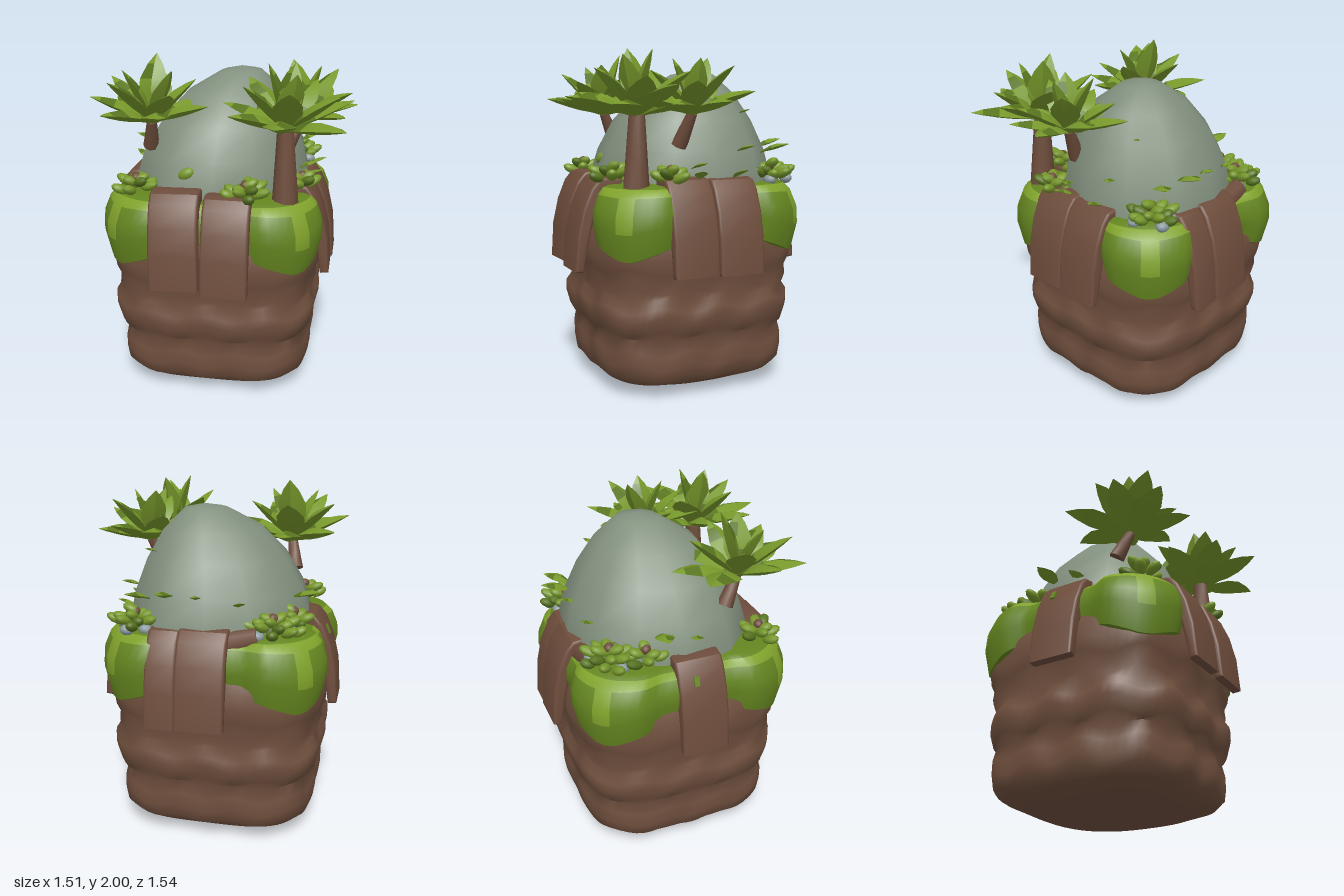
import * as THREE from 'three';
import { toCreasedNormals } from 'three/addons/utils/BufferGeometryUtils.js';

const mat = (name, color, side = THREE.FrontSide) => {
  const m = new THREE.MeshStandardMaterial({ color, side });
  m.name = name;
  return m;
};

// Closed loops of nu points, stacked nv times; pick() chooses a material slot per quad
function loft(nu, nv, point, crease, pick = () => 0) {
  const pos = [], slots = [[], []];
  for (let j = 0; j < nv; j++) for (let i = 0; i < nu; i++) pos.push(...point(i, j));
  for (let j = 0; j < nv - 1; j++) for (let i = 0; i < nu; i++) {
    const k = (i + 1) % nu, a = j * nu + i, b = a + nu, c = j * nu + k, d = c + nu;
    slots[pick(i, j)].push(a, b, c, c, b, d);
  }
  const g = new THREE.BufferGeometry();
  g.setAttribute('position', new THREE.Float32BufferAttribute(pos, 3));
  g.setIndex([...slots[0], ...slots[1]]);
  g.addGroup(0, slots[0].length, 0);
  g.addGroup(slots[0].length, slots[1].length, 1);
  return toCreasedNormals(g, crease);
}

// Rounded-square radius factor for an angle
const square = (a, n = 3.8) =>
  1 / Math.pow(Math.abs(Math.cos(a)) ** n + Math.abs(Math.sin(a)) ** n, 1 / n);

let seed = 7;
const rnd = () => (seed = (seed * 16807) % 2147483647) / 2147483647;

export function createModel() {
  const model = new THREE.Group();
  const earth = mat('earth brown', 0x70503e), bark = mat('bark brown', 0x6e4d3c);
  const rockGrey = mat('rock grey', 0x83917f), pebbleGrey = mat('pebble grey', 0x8b9aa0);
  const moss = mat('moss green', 0x648520, THREE.DoubleSide);
  const mossLight = mat('light moss green', 0x80a22b, THREE.DoubleSide);
  const leafGreen = mat('leaf green', 0x77982b), leafDark = mat('dark leaf green', 0x58741f);
  const CX = -0.05, CZ = -0.055;

  const add = (name, geo, material, parent = model, x = 0, y = 0, z = 0) => {
    const m = new THREE.Mesh(geo, material);
    m.name = name;
    m.position.set(x, y, z);
    parent.add(m);
    return m;
  };

  // Earth block: rounded square with staggered rows of lumps
  const N = 96;
  const profile = [[0, 0.008], [0.25, 0.022], [0.45, 0.045], [0.53, 0.085], [0.575, 0.13], [0.585, 0.2],
    [0.585, 0.28], [0.57, 0.35], [0.6, 0.4], [0.62, 0.48], [0.62, 0.54], [0.59, 0.59],
    [0.605, 0.65], [0.6, 0.71], [0.62, 0.76], [0.63, 0.84], [0.62, 0.95], [0.56, 1.1], [0.48, 1.2], [0, 1.2]];
  add('earthBlock', loft(N, profile.length, (i, j) => {
    const a = (i / N) * Math.PI * 2, [r0, y0] = profile[j];
    const row = Math.floor(j / 4) % 2;
    const lump = j > 3 && j < 16 ? Math.cos(a * 12 + row * Math.PI) : 0;
    const r = r0 * square(a, j < 3 ? 2.6 : 3.7) * (1 + 0.014 * lump);
    return [CX + r * Math.cos(a), y0 + lump * 0.02, CZ + r * Math.sin(a)];
  }, 1.2), earth);

  // Moss cap: four lobes hanging at the corners, recessed under the straps,
  // lighter along the rim and the corner ridges
  const edge = (a) => Math.abs((((a / (Math.PI / 2)) % 1) - 0.5) * 2);
  const cap = [[0.6, 0], [0.645, 0.03], [0.675, 0.4], [0.67, 0.62], [0.635, 0.86], [0.595, 0.97], [0.55, 1], [0.3, 1]];
  add('mossCap', loft(N, cap.length, (i, j) => {
    const a = (i / N) * Math.PI * 2, [r0, t] = cap[j], e = edge(a);
    const dip = THREE.MathUtils.smoothstep(e, 0.36, 0.56);
    const hem = 0.815 + 0.22 * Math.max(0, Math.min(0.62, e) - 0.06);
    const r = r0 * square(a, 3.6) * (1 - (j < 7 ? 0.085 * dip : 0));
    return [CX + r * Math.cos(a), THREE.MathUtils.lerp(hem, 1.24 - 0.015 * dip, t), CZ + r * Math.sin(a)];
  }, 0.6, (i, j) => {
    const corner = Math.abs(((i + 0.5) % 24) - 12) < 1;
    return j === 4 || (corner && j > 1 && j < 5) ? 1 : 0;
  }), [moss, mossLight]);

  // Boulder, broader along one diagonal: [y, centre x, centre z, radius]
  const rings = [[1.1, -0.04, -0.09, 0.53], [1.25, -0.04, -0.09, 0.525], [1.42, -0.03, -0.09, 0.48],
    [1.6, -0.01, -0.09, 0.395], [1.76, 0.02, -0.1, 0.275], [1.875, 0.06, -0.13, 0.12], [1.9, 0.06, -0.14, 0]];
  add('boulder', loft(12, rings.length, (i, j) => {
    const [y, x, z, r0] = rings[j], a = (i / 12) * Math.PI * 2;
    const r = r0 * square(a, 2.3) * (1 - 0.06 * Math.sin(2 * a));
    return [x + r * Math.cos(a), y, z + r * Math.sin(a)];
  }, 0.9), rockGrey);

  // Root straps folded over the rim
  const section = new THREE.Shape([[0.42, 1.27], [0.5, 1.285], [0.56, 1.272], [0.605, 1.22], [0.655, 1.1],
    [0.69, 0.95], [0.705, 0.74], [0.655, 0.735], [0.62, 0.93], [0.57, 1.12], [0.5, 1.19], [0.42, 1.19]]
    .map(([x, y]) => new THREE.Vector2(x, y)));
  const strap = (name, angle, offset, width, shift = 0, tilt = 0, rise = 0) => {
    const b = 0.016;
    const geo = new THREE.ExtrudeGeometry(section, { depth: width - 2 * b, bevelEnabled: true,
      bevelSize: b, bevelThickness: b, bevelOffset: -b, bevelSegments: 3 });
    geo.translate(shift, rise, -width / 2 + b);
    const pivot = new THREE.Group();
    pivot.name = name;
    pivot.position.set(CX, 0, CZ);
    pivot.rotation.y = angle;
    model.add(pivot);
    add('strap', toCreasedNormals(geo, 0.6), bark, pivot, 0, 0, offset).rotation.x = tilt;
    return pivot;
  };
  const Q = Math.PI / 2;
  strap('frontStrapRight', -Q, 0.135, 0.285, 0.015, 0.03, 0.01);
  strap('frontStrapLeft', -Q, -0.13, 0.27, 0.03, 0, -0.005);
  strap('leftStrapFront', 0, 0.165, 0.275, -0.01);
  strap('leftStrapBack', 0, -0.115, 0.28, 0, 0, -0.005);
  strap('backStrapRight', Q, 0.01, 0.28, 0.005);
  strap('backStrapLeft', Q, 0.235, 0.175, -0.005, 0, -0.01);
  const side = strap('rightStrap', 2 * Q, -0.02, 0.28, -0.01);
  for (const dz of [-0.02, 0.02]) {
    add('mossPatch', new THREE.BoxGeometry(0.009, 0.055, 0.03), moss, side, 0.622, 1.155 + dz, dz).rotation.z = 0.39;
  }
  add('rootStub', new THREE.CylinderGeometry(0.06, 0.075, 0.2, 8), bark, model, -0.24, 1.21, -0.56).rotation.z = 1.3;

  // Pointed leaf of unit length along +x, thick diamond section
  const spine = [[0, 0.03], [0.2, 0.11], [0.42, 0.215], [0.62, 0.215], [0.84, 0.12], [1, 0.004]];
  const leafGeo = loft(4, spine.length, (i, j) => {
    const [u, w] = spine[j], a = (i * Math.PI) / 2;
    return [u, w * 0.36 * Math.sin(a) + 0.05 * Math.sin(u * Math.PI), w * Math.cos(a)];
  }, 0.35, (i, j) => ((i === 0 && j === 1) || (i < 2 && j === 0) || (i === 1 && j === 3) ? 1 : 0));
  const leaf = (parent, x, y, z, length, yaw, pitch, width = 1) => {
    const m = add('leaf', leafGeo, [leafGreen, leafDark], parent, x, y, z);
    m.rotation.set(0, yaw, pitch, 'YXZ');
    m.scale.set(length, length, length * width);
  };

  // Trees: tapered trunk plus three tiers of leaves
  const tree = (name, base, top, r, size, turn) => {
    const g = new THREE.Group();
    g.name = name;
    model.add(g);
    const p = new THREE.Vector3(...base), q = new THREE.Vector3(...top), dir = q.clone().sub(p);
    const trunk = add('trunk', toCreasedNormals(new THREE.CylinderGeometry(r * 0.6, r, dir.length(), 9, 2), 0.8), bark, g);
    trunk.position.copy(p).lerp(q, 0.5);
    trunk.quaternion.setFromUnitVectors(new THREE.Vector3(0, 1, 0), dir.normalize());
    for (const [count, pitch, length] of [[7, 0.3, 1.04], [5, 0.68, 0.98], [3, 1.2, 1]]) {
      for (let i = 0; i < count; i++) {
        leaf(g, q.x, q.y - 0.01, q.z, size * length * (0.92 + rnd() * 0.16),
          turn + ((i + count * 0.13) / count) * Math.PI * 2 + rnd() * 0.25, pitch + (rnd() - 0.5) * 0.3);
      }
    }
  };
  tree('tallTree', [0.39, 1.2, 0.38], [0.38, 1.635, 0.37], 0.078, 0.385, 0.2);
  tree('rightTree', [-0.43, 1.47, 0.2], [-0.4, 1.635, 0.28], 0.048, 0.375, 0.6);
  tree('sideTree', [0.36, 1.46, 0.1], [0.45, 1.645, 0.06], 0.048, 0.35, 1.1);

  // Bushes of plump little leaves around the boulder: [x, z, spread, count]
  const blob = toCreasedNormals(new THREE.IcosahedronGeometry(1, 1), 0.7);
  const bush = (name, x, z, spread, count) => {
    const g = new THREE.Group();
    g.name = name;
    g.position.set(x, 1.26, z);
    model.add(g);
    for (let i = 0; i < count; i++) {
      const a = i * 2.4, d = spread * Math.sqrt((i + 0.5) / count);
      const m = add('bushLeaf', blob, i % 4 === 3 ? leafDark : leafGreen, g,
        d * Math.cos(a), 0.07 * (1 - d / spread) + rnd() * 0.03, d * Math.sin(a));
      m.scale.set(0.046 + rnd() * 0.018, 0.028, 0.034);
      m.rotation.set(0, -a, 0.45, 'YXZ');
    }
    add('bushCore', blob, bark, g, 0, 0.07, 0).scale.setScalar(0.03);
  };
  bush('frontLeftBush', 0.17, 0.44, 0.12, 13);
  bush('frontRightBush', -0.47, 0.4, 0.1, 10);
  bush('backRightBush', -0.4, -0.48, 0.14, 18);
  bush('sideRightBush', -0.49, -0.3, 0.1, 9);
  bush('backLeftBush', 0.38, -0.5, 0.12, 16);
  bush('leftBush', 0.47, 0.2, 0.08, 8);

  // Pebbles in the back corners
  for (const [x, z] of [[0.46, -0.45], [0.4, -0.6], [0.3, -0.57], [-0.33, -0.57], [-0.5, -0.44]]) {
    add('pebble', blob, pebbleGrey, model, x, 1.25, z).scale.set(0.04, 0.032, 0.036);
  }

  // Loose leaves sprouting from the boulder: [x, y, z, length, yaw, pitch]
  for (const [x, y, z, l, yaw, p] of [[0.18, 1.42, -0.5, 0.2, 1.5, 0.3], [0.3, 1.4, -0.47, 0.19, 1.0, 0.3],
    [-0.45, 1.38, -0.2, 0.2, 3.0, 0.25], [-0.46, 1.32, 0.02, 0.15, 2.7, 0.4], [0.42, 1.42, -0.24, 0.13, 0.6, 0.3],
    [0.02, 1.42, -0.52, 0.12, 1.7, 0.35], [-0.2, 1.38, -0.49, 0.12, 2, 0.45], [0.3, 1.64, -0.32, 0.08, 0.7, 0.3],
    [0.46, 1.27, -0.2, 0.14, 0.2, 0.4], [0.46, 1.27, 0.02, 0.14, 6, 0.4], [0.44, 1.33, 0.06, 0.12, 0.5, 0.3]]) {
    leaf(model, x, y, z, l, yaw, p, 1.2);
  }
  const bud = add('looseLeaf', blob, leafGreen, model, -0.18, 1.36, 0.38);
  bud.scale.set(0.055, 0.035, 0.03);
  bud.rotation.z = 0.5;

  return model;
}
